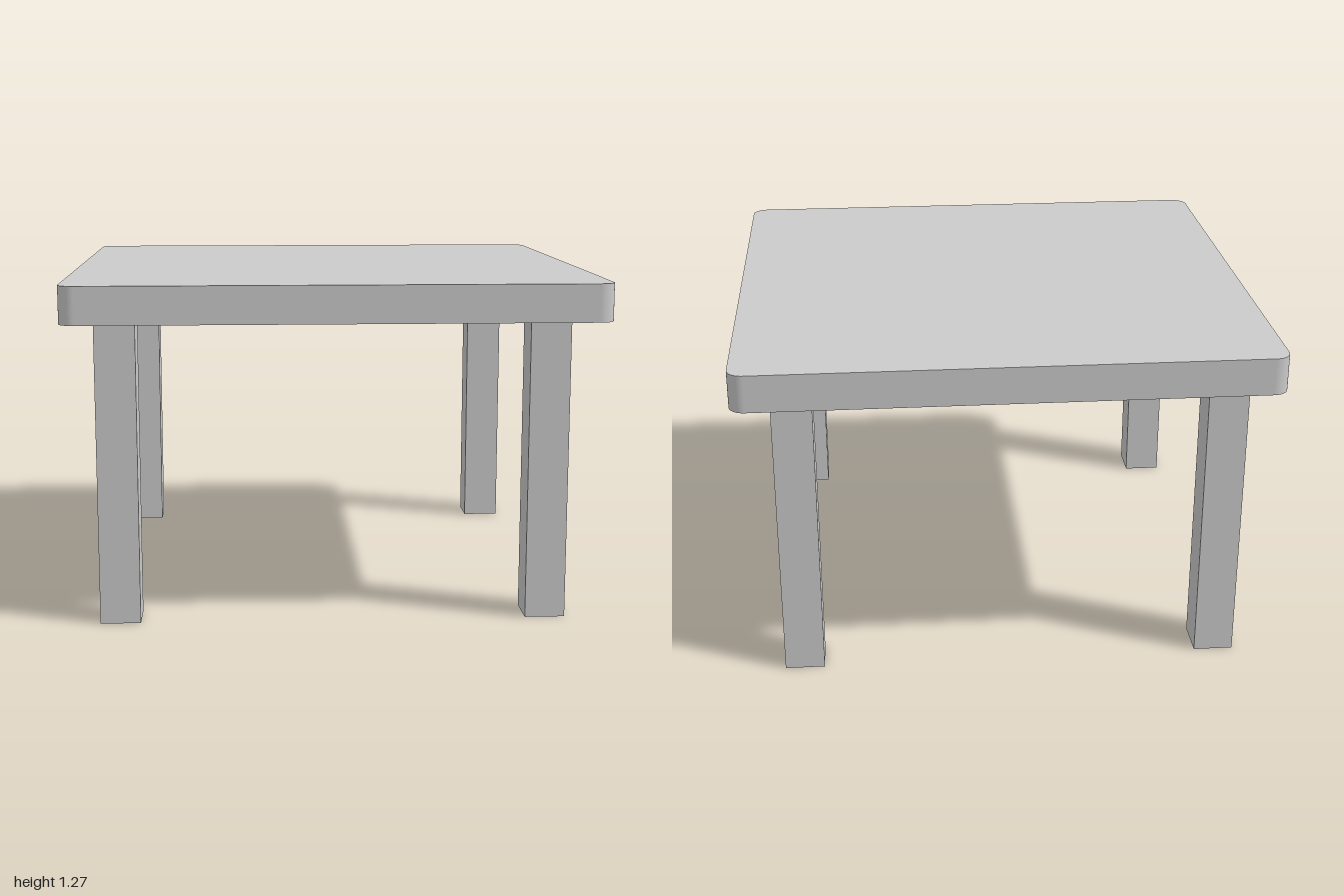
import * as THREE from 'three';

const material = new THREE.MeshStandardMaterial({ color: 0xcccccc });

// Square outline with rounded corners
function roundedSquare(half, r) {
  const s = new THREE.Shape();
  const c = half - r;
  s.absarc(c, c, r, 0, Math.PI / 2);
  s.absarc(-c, c, r, Math.PI / 2, Math.PI);
  s.absarc(-c, -c, r, Math.PI, Math.PI * 1.5);
  s.absarc(c, -c, r, Math.PI * 1.5, Math.PI * 2);
  s.closePath();
  return s;
}

export function createModel() {
  const table = new THREE.Group();
  table.name = 'table';

  const legHeight = 1.13;
  const topThickness = 0.14;
  const legWidth = 0.15;

  // Table top: slab with rounded vertical corners
  const topGeometry = new THREE.ExtrudeGeometry(roundedSquare(1, 0.06), {
    depth: topThickness,
    bevelEnabled: false,
    curveSegments: 8,
  });
  topGeometry.rotateX(-Math.PI / 2);
  const top = new THREE.Mesh(topGeometry, material);
  top.name = 'tableTop';
  top.position.y = legHeight;
  table.add(top);

  // Four square legs, set slightly off centre
  const legGeometry = new THREE.BoxGeometry(legWidth, legHeight, legWidth);
  for (const [side, x] of [['Left', 0.786], ['Right', -0.808]]) {
    for (const [end, z] of [['front', 0.813], ['back', -0.808]]) {
      const leg = new THREE.Mesh(legGeometry, material);
      leg.name = `${end}${side}Leg`;
      leg.position.set(x, legHeight / 2, z);
      table.add(leg);
    }
  }

  return table;
}
